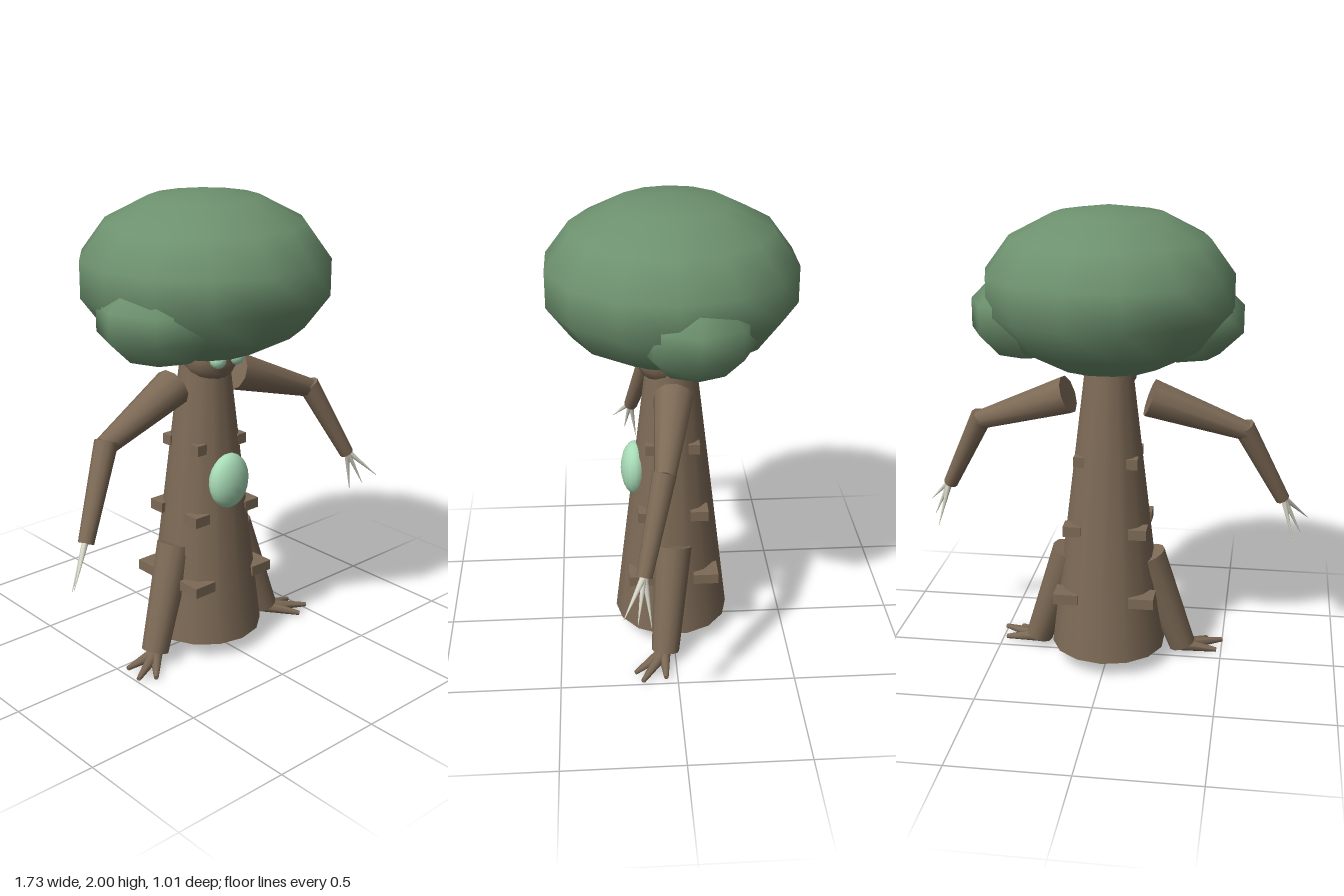
import * as THREE from 'three';

const material = (name, color) => {
  const m = new THREE.MeshStandardMaterial({ color });
  m.name = name;
  return m;
};

export function createModel() {
  const root = new THREE.Group();
  root.name = 'treeCreature';
  const bark = material('bark', 0x7d6a56);
  const leaf = material('leaves', 0x6d916e);
  const glow = material('paleGreen', 0xa8dbb6);
  const bone = material('claw', 0xdadacb);

  const add = (parent, name, geometry, mat) => {
    const mesh = new THREE.Mesh(geometry, mat);
    mesh.name = name;
    parent.add(mesh);
    return mesh;
  };

  // Ellipsoid with its own radii and segment counts
  const blob = (parent, name, mat, pos, radii, w, h) => {
    const mesh = add(parent, name, new THREE.SphereGeometry(1, w, h), mat);
    mesh.position.set(...pos);
    mesh.scale.set(...radii);
    return mesh;
  };

  // Tapered cylinder running from point a to point b
  const limb = (parent, name, mat, a, b, ra, rb, sides = 10) => {
    const start = new THREE.Vector3(...a);
    const end = new THREE.Vector3(...b);
    const dir = end.clone().sub(start);
    const mesh = add(parent, name, new THREE.CylinderGeometry(rb, ra, dir.length(), sides), mat);
    mesh.position.copy(start).add(end).multiplyScalar(0.5);
    mesh.quaternion.setFromUnitVectors(new THREE.Vector3(0, 1, 0), dir.normalize());
    return mesh;
  };

  // Trunk and head
  limb(root, 'trunk', bark, [0, 0.07, 0], [0, 1.33, 0], 0.25, 0.1, 14);
  blob(root, 'head', bark, [0, 1.312, 0.03], [0.118, 0.118, 0.118], 14, 10);

  // Leafy crown with a lobe on each side
  blob(root, 'crown', leaf, [0, 1.655, 0], [0.53, 0.345, 0.53], 14, 7);
  blob(root, 'leftLobe', leaf, [0.32, 1.56, -0.075], [0.253, 0.19, 0.253], 8, 5);
  blob(root, 'rightLobe', leaf, [-0.293, 1.53, 0.08], [0.275, 0.19, 0.275], 8, 5);

  // Oval gem on the chest
  blob(root, 'chestGem', glow, [0, 0.785, 0.155], [0.1, 0.122, 0.063], 16, 12);

  for (const s of [1, -1]) {
    const side = new THREE.Group();
    side.name = s > 0 ? 'leftSide' : 'rightSide';
    root.add(side);
    const at = ([x, y, z]) => [s * x, y, z];

    blob(side, 'eye', glow, at([0.05, 1.32, 0.14]), [0.035, 0.035, 0.035], 12, 8);

    // Arm
    const hand = [0.745, 0.72, 0.15];
    limb(side, 'upperArm', bark, at([0.175, 1.2, 0]), at([0.58, 1.052, 0.06]), 0.083, 0.042);
    limb(side, 'forearm', bark, at([0.567, 1.072, 0.06]), at(hand), 0.048, 0.032);

    // Claws
    for (const tip of [[0.862, 0.605, 0.235], [0.83, 0.555, 0.18], [0.802, 0.52, 0.125]]) {
      limb(side, 'claw', bone, at([0.747, 0.73, 0.15]), at(tip), 0.014, 0.001, 6);
    }

    // Leg and toes
    limb(side, 'leg', bark, at([0.17, 0.49, 0]), at([0.325, 0.045, 0.045]), 0.08, 0.06, 12);
    for (const tip of [[0.5, 0.02, 0.15], [0.43, 0.011, 0.18], [0.48, 0.018, 0.05]]) {
      limb(side, 'toe', bark, at([0.325, 0.036, 0.05]), at(tip), 0.03, 0.01, 7);
    }

    // Square bark ledges, four around the trunk at three heights
    for (const [y, x, z, size] of [
      [0.335, 0.163, 0.14, 0.108],
      [0.633, 0.141, 0.112, 0.077],
      [0.935, 0.112, 0.09, 0.048],
    ]) {
      for (const f of [1, -1]) {
        const ledge = add(side, 'barkLedge', new THREE.BoxGeometry(size, 0.045, size), bark);
        ledge.position.set(s * x, y, f * z);
      }
    }
  }

  return root;
}
